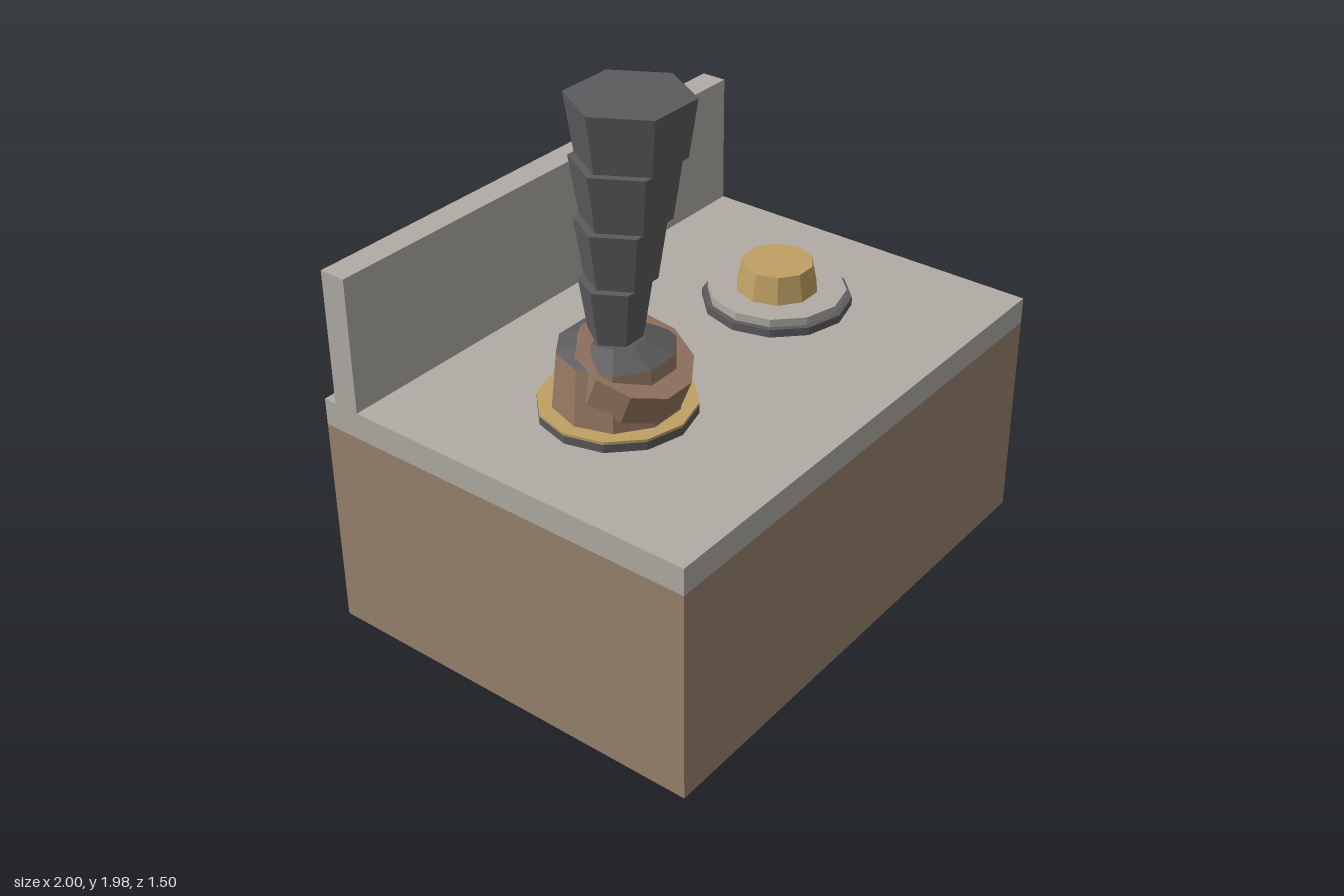
import * as THREE from 'three';

const mat = (name, color) => {
  const m = new THREE.MeshStandardMaterial({ color, flatShading: true });
  m.name = name;
  return m;
};

export function createModel() {
  const wood = mat('wood', 0x99826d);
  const stone = mat('stone', 0xb0aca5);
  const clay = mat('clay', 0x967862);
  const brass = mat('brass', 0xbfa064);
  const iron = mat('iron', 0x5b5b5e);
  const model = new THREE.Group();
  model.name = 'smokingStove';

  const add = (parent, name, geometry, material, x, y, z) => {
    const mesh = new THREE.Mesh(geometry, material);
    mesh.name = name;
    mesh.position.set(x, y, z);
    parent.add(mesh);
    return mesh;
  };
  const box = (name, w, h, d, material, y0, z = 0) =>
    add(model, name, new THREE.BoxGeometry(w, h, d), material, 0, y0 + h / 2, z);
  // Faceted frustum standing on y0, with corners on the x axis
  const frustum = (parent, name, rTop, rBottom, y0, y1, sides, material, x = 0, z = 0) =>
    add(parent, name, new THREE.CylinderGeometry(rTop, rBottom, y1 - y0, sides, 1, false, Math.PI / 2),
      material, x, (y0 + y1) / 2, z);

  // Cabinet, worktop and upright back panel
  box('cabinet', 2, 0.8, 1.5, wood, 0);
  box('worktop', 2, 0.1, 1.5, stone, 0.8);
  box('backPanel', 2, 0.5, 0.1, stone, 0.9, -0.65);

  // Burner bases
  const burners = [-0.45, 0.45].map((x) => {
    const g = new THREE.Group();
    g.name = x < 0 ? 'rightBurner' : 'leftBurner';
    g.position.set(x, 0, 0.05);
    model.add(g);
    frustum(g, 'burnerBase', 0.27, 0.27, 0.9, 0.93, 12, iron);
    return g;
  });
  const [cooking, idle] = burners;

  // Idle burner: pale plate and brass cap
  frustum(idle, 'burnerPlate', 0.25, 0.25, 0.93, 0.96, 12, stone);
  frustum(idle, 'burnerCap', 0.13, 0.15, 0.96, 1.06, 10, brass);

  // Cooking burner: brass plate, pot, tipped lid and soot
  frustum(cooking, 'hotPlate', 0.27, 0.27, 0.93, 0.94, 12, brass);
  frustum(cooking, 'pot', 0.2, 0.22, 0.94, 1.14, 10, clay);
  const lid = frustum(cooking, 'tippedLid', 0.2, 0.2, 1.02, 1.14, 10, clay, 0, 0.06);
  lid.rotation.x = 0.385;
  frustum(cooking, 'soot', 0.1, 0.2, 1.14, 1.18, 10, iron);

  // Smoke column of widening puffs that drift sideways
  for (let i = 0; i < 4; i++) {
    frustum(cooking, 'smokePuff' + (i + 1), 0.12 + 0.03 * i, 0.09 + 0.03 * i,
      1.18 + 0.2 * i, 1.38 + 0.2 * i, 6, iron, 0.03 * i);
  }
  return model;
}
